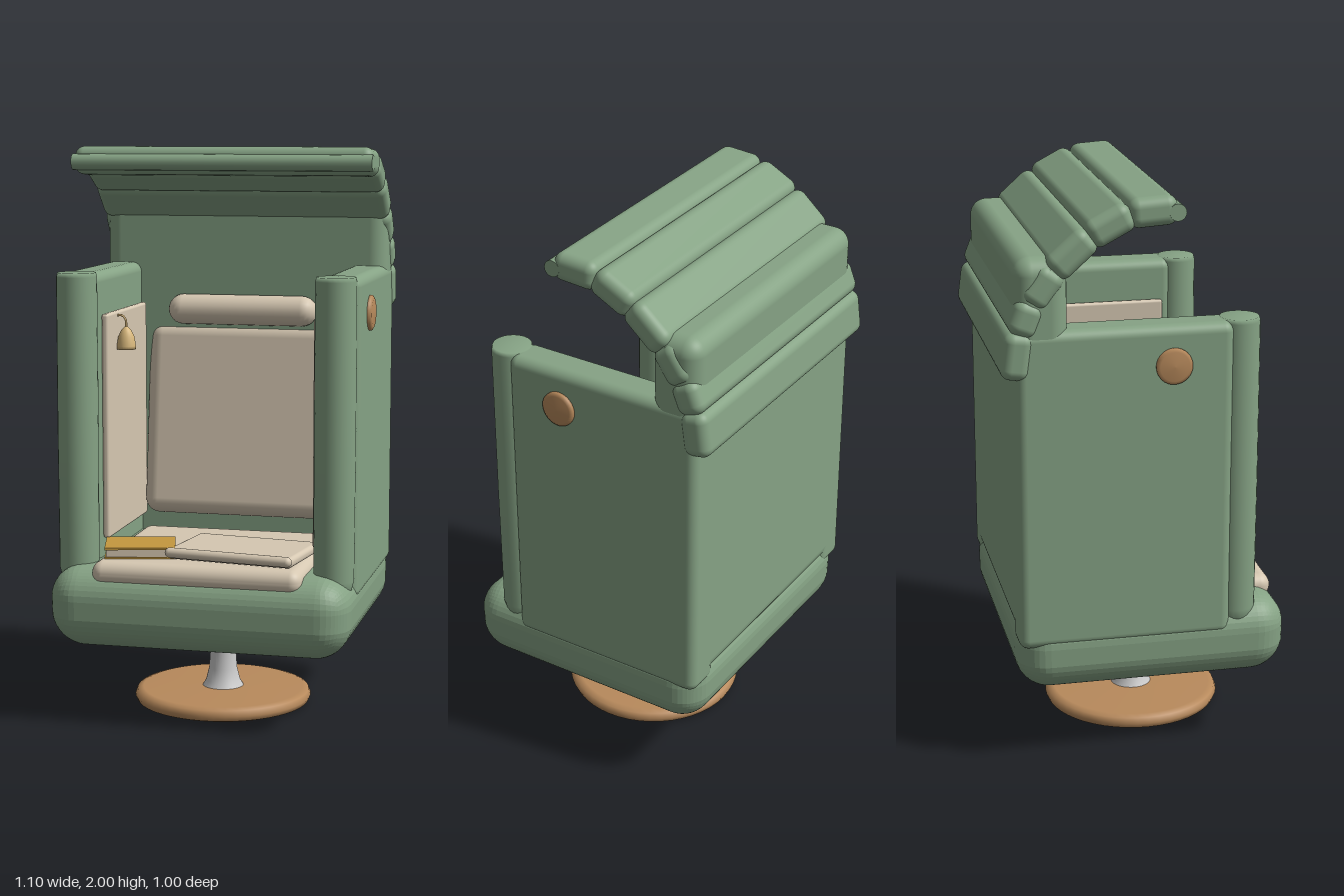
import * as THREE from 'three';
import { RoundedBoxGeometry } from 'three/addons/geometries/RoundedBoxGeometry.js';

const paint = (color) => new THREE.MeshStandardMaterial({ color });

export function createModel() {
  const model = new THREE.Group();
  const green = paint(0x86a385), beige = paint(0xd6c8b2), wood = paint(0xb88a5c);
  const metal = paint(0xcccccc), gold = paint(0xc4983f), brass = paint(0xd8b87c);

  const add = (name, geometry, material, x = 0, y = 0, z = 0, parent = model) => {
    const mesh = new THREE.Mesh(geometry, material);
    mesh.name = name;
    mesh.position.set(x, y, z);
    parent.add(mesh);
    return mesh;
  };
  const soft = (w, h, d, r) => new RoundedBoxGeometry(w, h, d, 5, r);
  const lathe = (points, sides = 32) =>
    new THREE.LatheGeometry(points.map(([r, y]) => new THREE.Vector2(r, y)), sides);
  // Horizontal roll with rounded ends
  const roll = (length, r) => new THREE.CapsuleGeometry(r, length - 2 * r, 6, 20).rotateZ(Math.PI / 2);

  // Pedestal
  add('footDisc', lathe([[0, 0], [0.29, 0], [0.312, 0.008], [0.32, 0.026], [0.312, 0.046], [0.29, 0.053], [0, 0.056]], 48),
    wood, 0, 0, 0.05);
  add('stem', lathe([[0.08, 0.045], [0.062, 0.075], [0.051, 0.12], [0.046, 0.19], [0.05, 0.225], [0.066, 0.25], [0.078, 0.28]]),
    metal, 0, 0, 0.05);

  // Padded base, drawn in towards its underside
  const baseShape = soft(1.065, 0.285, 0.955, 0.11);
  const p = baseShape.attributes.position;
  for (let i = 0; i < p.count; i++) {
    const low = Math.max(0, -p.getY(i) - 0.02) / 0.12;
    p.setX(i, p.getX(i) * (1 - 0.03 * low));
    p.setZ(i, p.getZ(i) * (1 - 0.03 * low));
  }
  baseShape.computeVertexNormals();
  add('seatBase', baseShape, green, 0, 0.41, 0.025);

  // Side walls, front posts, lining and side buttons
  for (const [side, s] of [['left', 1], ['right', -1]]) {
    add(side + 'Wall', soft(0.14, 1.12, 0.74, 0.035), green, s * 0.462, 1.007, -0.08);
    add(side + 'FrontPost', lathe([[0, 0.455], [0.035, 0.46], [0.058, 0.48], [0.07, 0.53], [0.072, 1], [0.071, 1.555], [0.067, 1.57], [0, 1.57]], 24),
      green, s * 0.457, 0, 0.32);
    add(side + 'Lining', soft(0.025, 0.8, 0.5, 0.01), beige, s * 0.379, 1.02, 0);
    const button = add(side + 'Button', lathe([[0, -0.012], [0.062, -0.012], [0.062, 0.006], [0.05, 0.013], [0, 0.016]]),
      wood, s * 0.534, 1.43, 0.08);
    button.rotation.z = -s * Math.PI / 2;
  }

  // Tall back
  add('backPanel', soft(1.06, 1.34, 0.18, 0.06), green, 0, 1.14, -0.36);

  // Hood: padded ribs along an arc of [z, y] joints, with a lip roll
  const hood = new THREE.Group();
  hood.name = 'hood';
  model.add(hood);
  const joints = [[0.085, 1.952], [-0.065, 1.942], [-0.198, 1.872], [-0.318, 1.765], [-0.392, 1.66], [-0.432, 1.56], [-0.452, 1.412]];
  for (let i = 0; i < joints.length - 1; i++) {
    const [z0, y0] = joints[i], [z1, y1] = joints[i + 1];
    const rib = add('hoodRib', soft(1.08, 0.1, Math.hypot(z1 - z0, y1 - y0) + 0.012, 0.035), green,
      0, (y0 + y1) / 2, (z0 + z1) / 2, hood);
    rib.rotation.x = Math.atan2(y1 - y0, z0 - z1);
  }
  add('hoodLip', new THREE.CylinderGeometry(0.029, 0.029, 1.08, 16).rotateZ(Math.PI / 2), green, 0, 1.945, 0.087, hood);

  // Cushions
  add('seatCushion', soft(0.74, 0.085, 0.7, 0.04), beige, 0, 0.541, 0.132);
  const backCushion = add('backCushion', soft(0.73, 0.72, 0.14, 0.055), beige, 0, 0.985, -0.285);
  backCushion.rotation.x = -0.13;
  add('headRoll', roll(0.56, 0.056), beige, 0, 1.397, -0.255);

  // Book with a coloured cover
  const book = new THREE.Group();
  book.name = 'book';
  book.position.set(-0.237, 0.607, 0.305);
  book.rotation.y = 0.25;
  model.add(book);
  add('bookPages', new THREE.BoxGeometry(0.235, 0.026, 0.18), beige, 0, -0.004, 0, book);
  add('bookCover', new THREE.BoxGeometry(0.245, 0.008, 0.192), gold, 0, 0.013, 0, book);
  add('bookBackCover', new THREE.BoxGeometry(0.245, 0.006, 0.192), gold, 0, -0.019, 0, book);

  // Folded blanket with a rolled front edge
  const blanket = new THREE.Group();
  blanket.name = 'blanket';
  blanket.position.set(0.125, 0.605, 0.275);
  blanket.rotation.y = -0.14;
  model.add(blanket);
  add('blanketFold', soft(0.46, 0.036, 0.31, 0.016), beige, 0, 0, -0.01, blanket);
  add('blanketEdge', roll(0.465, 0.018), beige, 0, 0.006, 0.145, blanket);

  // Small bell lamp hung from the lining
  const lamp = new THREE.Group();
  lamp.name = 'lamp';
  lamp.position.set(-0.335, 1.285, 0.13);
  model.add(lamp);
  add('lampShade', lathe([[0, 0.004], [0.034, 0], [0.034, 0.012], [0.029, 0.045], [0.018, 0.068], [0.006, 0.08], [0, 0.082]], 24), brass, 0, 0, 0, lamp);
  const cord = new THREE.CatmullRomCurve3([[0, 0.075, 0], [-0.002, 0.105, 0], [-0.015, 0.12, 0], [-0.038, 0.12, 0]]
    .map((v) => new THREE.Vector3(...v)));
  add('lampHook', new THREE.TubeGeometry(cord, 16, 0.004, 8), brass, 0, 0, 0, lamp);

  return model;
}
